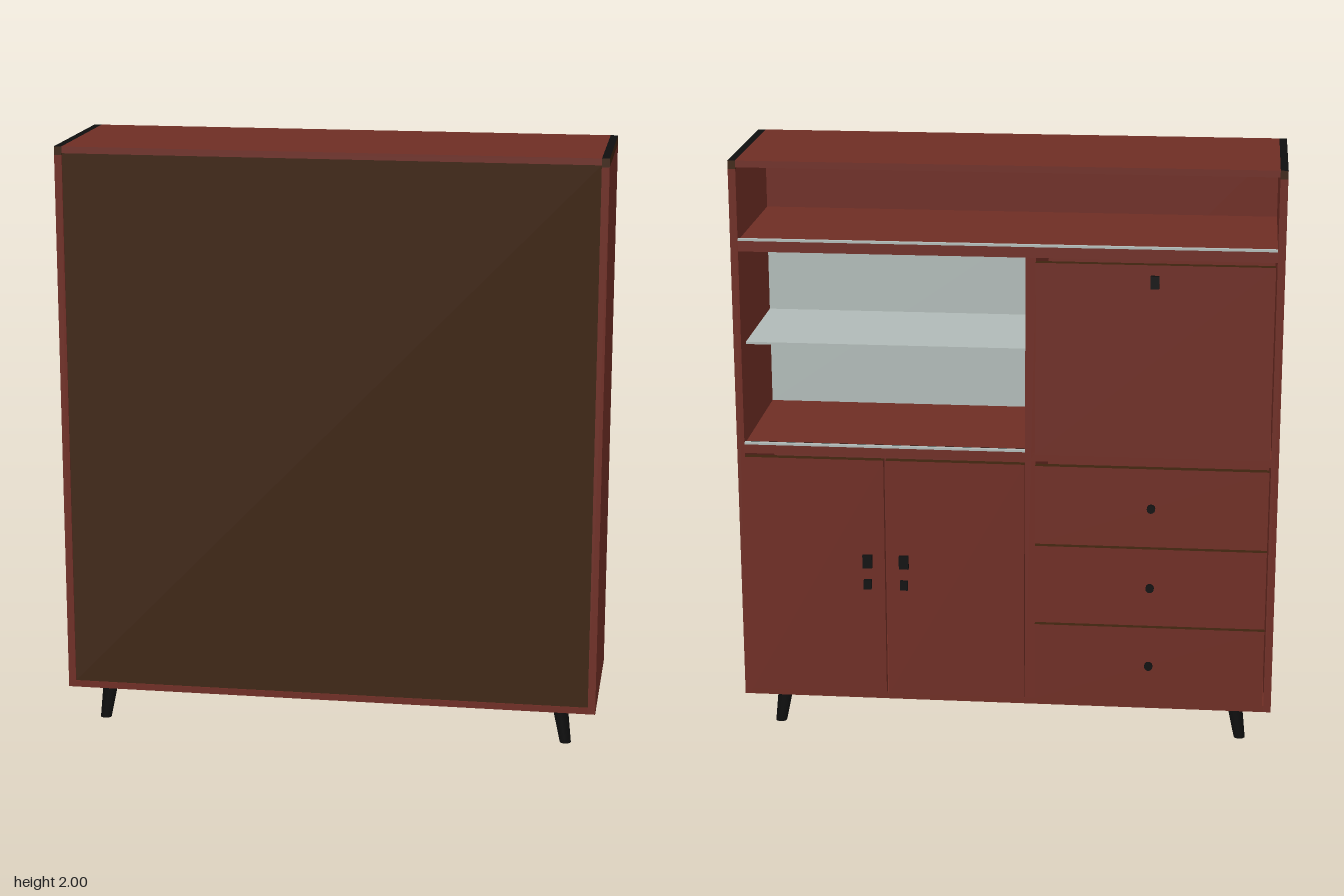
import * as THREE from 'three';

const mat = (name, hex) => {
  const m = new THREE.MeshStandardMaterial({ color: hex });
  m.name = name;
  return m;
};

export function createModel() {
  const wood = mat('red wood', 0x6e2d24);
  const brown = mat('dark brown', 0x3d230f);
  const black = mat('black', 0x0f0f0f);
  const glass = mat('pale glass', 0xb0bab7);

  const root = new THREE.Group();
  root.name = 'cabinet';

  // Box given by its limits; material may be an array (+x, -x, +y, -y, +z, -z)
  function box(name, x0, x1, y0, y1, z0, z1, material, parent = root) {
    const mesh = new THREE.Mesh(new THREE.BoxGeometry(x1 - x0, y1 - y0, z1 - z0), material);
    mesh.position.set((x0 + x1) / 2, (y0 + y1) / 2, (z0 + z1) / 2);
    mesh.name = name;
    parent.add(mesh);
    return mesh;
  }

  const front = -0.25, back = 0.29;   // doors are on the -z side
  const inner = 0.875, bottom = 0.14;

  // Carcass: sides with dark top ends, top and base boards
  for (const s of [-1, 1]) {
    const x0 = s > 0 ? inner : -0.9, x1 = s > 0 ? 0.9 : -inner;
    box('sidePanel', x0, x1, bottom, 1.972, front, back, wood);
    box('sideTopEnd', x0, x1, 1.972, 2, front, back, [brown, brown, black, wood, brown, brown]);
  }
  box('topBoard', -inner, inner, 1.978, 2, front, back, wood);
  box('baseBoard', -inner, inner, bottom, 0.162, front, back, wood);

  // Back board, brown outside and red inside
  box('backBoard', -inner, inner, 0.162, 1.978, 0.272, 0.286, [wood, wood, wood, wood, brown, wood]);

  // Shelves and divider
  box('upperShelf', -inner, inner, 1.7, 1.735, front, 0.272, wood);
  box('middleShelf', -inner, inner, 1.01, 1.04, front, 0.272, wood);
  box('divider', -0.1, -0.065, 0.162, 1.7, front, 0.272, wood);

  // Sliding tracks along the front of the open compartments
  for (const [x0, y] of [[-inner, 1.735], [-0.065, 1.04]]) {
    box('trackRail', x0, inner, y, y + 0.007, front, front + 0.014, glass);
    box('trackGroove', x0, inner, y, y + 0.004, front + 0.014, front + 0.026, black);
  }

  // Glass shelf and mirrored back in the open compartment
  box('glassShelf', -0.065, inner, 1.365, 1.373, -0.17, 0.266, glass);
  box('mirrorPanel', -0.065, inner, 1.04, 1.7, 0.266, 0.272, glass);

  // Overlay fronts with dark edges
  const face = front - 0.026;
  const flapSkin = [brown, brown, brown, brown, brown, wood];
  const doorSkin = [wood, wood, brown, brown, brown, wood];
  box('dropFlap', -0.87, -0.1, 1.04, 1.69, face, front, flapSkin);
  box('leftDoor', 0.405, 0.87, 0.17, 1.005, face, front, doorSkin);
  box('rightDoor', -0.065, 0.398, 0.17, 1.005, face, front, doorSkin);

  // Drawers with round knobs
  for (let i = 0; i < 3; i++) {
    const y = 0.17 + i * 0.28;
    box('drawerFront', -0.87, -0.1, y, y + 0.272, face, front, flapSkin);
    const knob = new THREE.Mesh(new THREE.CylinderGeometry(0.014, 0.014, 0.014, 12), black);
    knob.rotation.x = Math.PI / 2;
    knob.position.set(-0.485, y + 0.136, face - 0.007);
    knob.name = 'drawerKnob';
    root.add(knob);
  }

  // Handles and lock plates
  function plate(name, x, y, w, h) {
    box(name, x - w / 2, x + w / 2, y - h / 2, y + h / 2, face - 0.014, face, black);
  }
  plate('flapHandle', -0.485, 1.635, 0.028, 0.042);
  for (const x of [0.34, 0.463]) {
    plate('doorHandle', x, 0.65, 0.032, 0.045);
    plate('lockPlate', x, 0.568, 0.026, 0.032);
  }

  // Splayed tapered legs: the foot end is shifted outwards
  for (const s of [-1, 1]) {
    for (const z of [0.19, -0.145]) {
      const geo = new THREE.CylinderGeometry(0.027, 0.019, bottom, 16);
      const p = geo.attributes.position;
      for (let i = 0; i < p.count; i++) {
        if (p.getY(i) < 0) p.setX(i, p.getX(i) + s * 0.022);
      }
      const leg = new THREE.Mesh(geo, black);
      leg.position.set(s * 0.775, bottom / 2, z);
      leg.name = 'leg';
      root.add(leg);
    }
  }

  return root;
}
